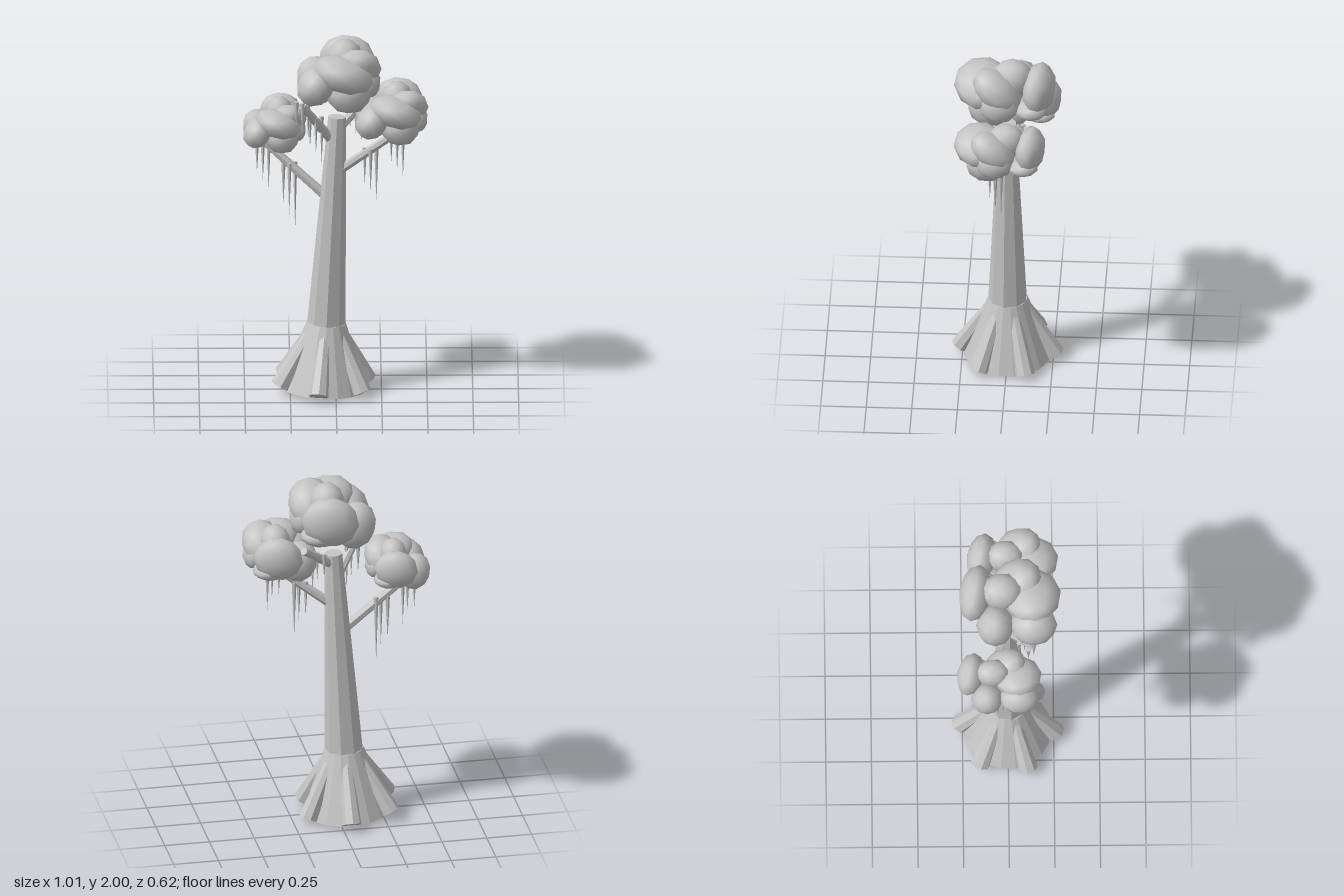
import * as THREE from 'three';

const bark = new THREE.MeshStandardMaterial({ color: 0xc4c4c4, flatShading: true });
bark.name = 'pale grey bark';
const leaf = new THREE.MeshStandardMaterial({ color: 0xc4c4c4 });
leaf.name = 'pale grey foliage';

const V = (x, y, z) => new THREE.Vector3(x, y, z);

function add(parent, geometry, material, name) {
  const mesh = new THREE.Mesh(geometry, material);
  mesh.name = name;
  parent.add(mesh);
  return mesh;
}

// Tapered cylinder running from point a to point b
function limb(parent, a, b, ra, rb, sides, name) {
  const dir = b.clone().sub(a);
  const mesh = add(parent, new THREE.CylinderGeometry(rb, ra, dir.length(), sides), bark, name);
  mesh.position.copy(a).add(b).multiplyScalar(0.5);
  mesh.quaternion.setFromUnitVectors(V(0, 1, 0), dir.normalize());
}

// Leaning trunk with flared foot and six roots
function makeTrunk() {
  const trunk = new THREE.Group();
  trunk.name = 'trunk';
  const shaft = add(trunk, new THREE.CylinderGeometry(0.05, 0.107, 1.18, 9), bark, 'trunkShaft');
  shaft.position.y = 0.97;
  const flare = add(trunk, new THREE.CylinderGeometry(0.107, 0.24, 0.37, 18), bark, 'trunkFlare');
  flare.position.y = 0.195;
  for (let i = 0; i < 6; i++) {
    const t = THREE.MathUtils.degToRad(36 + i * 60);
    const at = (r, y) => V(r * Math.cos(t), y, r * Math.sin(t));
    limb(trunk, at(0.262, 0.03), at(0.075, 0.35), 0.055, 0.03, 8, 'root');
  }
  trunk.position.set(-0.071, 0.012, 0);
  trunk.rotation.z = -0.05;
  return trunk;
}

// Blobs of one foliage clump: centre, radii, rotation about x, y and z
const blobs = [
  [[-0.01, 0.03, 0.01], [0.175, 0.1, 0.162], [0, 0.15, -0.3]],
  [[0.07, 0.04, -0.07], [0.13, 0.1, 0.155], [-0.65, 0, 0]],
  [[0.0, 0.075, -0.15], [0.1, 0.112, 0.118], [0, 0, 0]],
  [[0.01, 0.02, -0.297], [0.16, 0.145, 0.09], [0, -0.18, 0.15]],
  [[-0.15, -0.06, -0.19], [0.115, 0.14, 0.105], [0, 0, 0.3]],
  [[-0.16, -0.03, 0.02], [0.1, 0.12, 0.13], [0, 0, -0.6]],
  [[0.02, -0.08, -0.04], [0.125, 0.125, 0.14], [0, 0.4, 0]],
  [[0.12, -0.03, -0.08], [0.075, 0.1, 0.11], [0, 0, 0.2]],
  [[0.06, -0.08, -0.25], [0.11, 0.055, 0.1], [0, 0.3, 0.1]],
];

function makeClump(name, position, scale) {
  const clump = new THREE.Group();
  clump.name = name;
  for (const [c, r, turn] of blobs) {
    const blob = add(clump, new THREE.IcosahedronGeometry(1, 1), leaf, 'leafBlob');
    blob.position.set(...c);
    blob.scale.set(...r);
    blob.rotation.set(...turn);
  }
  clump.position.copy(position);
  clump.scale.set(...scale);
  return clump;
}

// Row of thin hanging spikes, longest towards +x
function makeSpikes(x, y, z, length) {
  const row = new THREE.Group();
  row.name = 'hangingSpikes';
  [0.65, 0.78, 1].forEach((k, i) => {
    const h = length * k;
    const spike = add(row, new THREE.ConeGeometry(0.014, h, 6), bark, 'spike');
    spike.rotation.x = Math.PI;
    spike.position.set(x + (i - 1) * 0.032, y - h / 2, z + (i % 2 ? 0.02 : -0.01));
  });
  return row;
}

export function createModel() {
  const tree = new THREE.Group();
  tree.name = 'tree';
  tree.add(makeTrunk());

  // Branches
  const branches = [
    [V(-0.03, 1.09, 0), V(-0.4, 1.42, -0.05)],
    [V(0.0, 1.25, 0), V(0.34, 1.5, 0.06)],
    [V(-0.01, 1.42, 0), V(-0.185, 1.67, 0.13)],
    [V(0.01, 1.5, 0), V(0.2, 1.66, -0.14)],
  ];
  for (const [a, b] of branches) limb(tree, a, b, 0.028, 0.022, 7, 'branch');

  // Foliage
  tree.add(makeClump('topFoliage', V(0.05, 1.82, 0.12), [1, 1, 1]));
  tree.add(makeClump('leftFoliage', V(0.335, 1.61, 0.125), [0.86, 0.86, 0.9]));
  tree.add(makeClump('rightFoliage', V(-0.31, 1.52, 0.04), [0.75, 0.76, 0.83]));

  // Hanging spikes: x, y of the top, z, longest length
  const spikes = [
    [-0.4, 1.42, -0.05, 0.29], [-0.255, 1.3, -0.03, 0.39],
    [0.19, 1.4, 0.035, 0.32], [0.335, 1.5, 0.06, 0.27],
    [-0.185, 1.69, 0.12, 0.22], [-0.11, 1.59, 0.07, 0.27],
    [0.11, 1.61, -0.08, 0.21],
  ];
  for (const s of spikes) tree.add(makeSpikes(...s));
  return tree;
}
